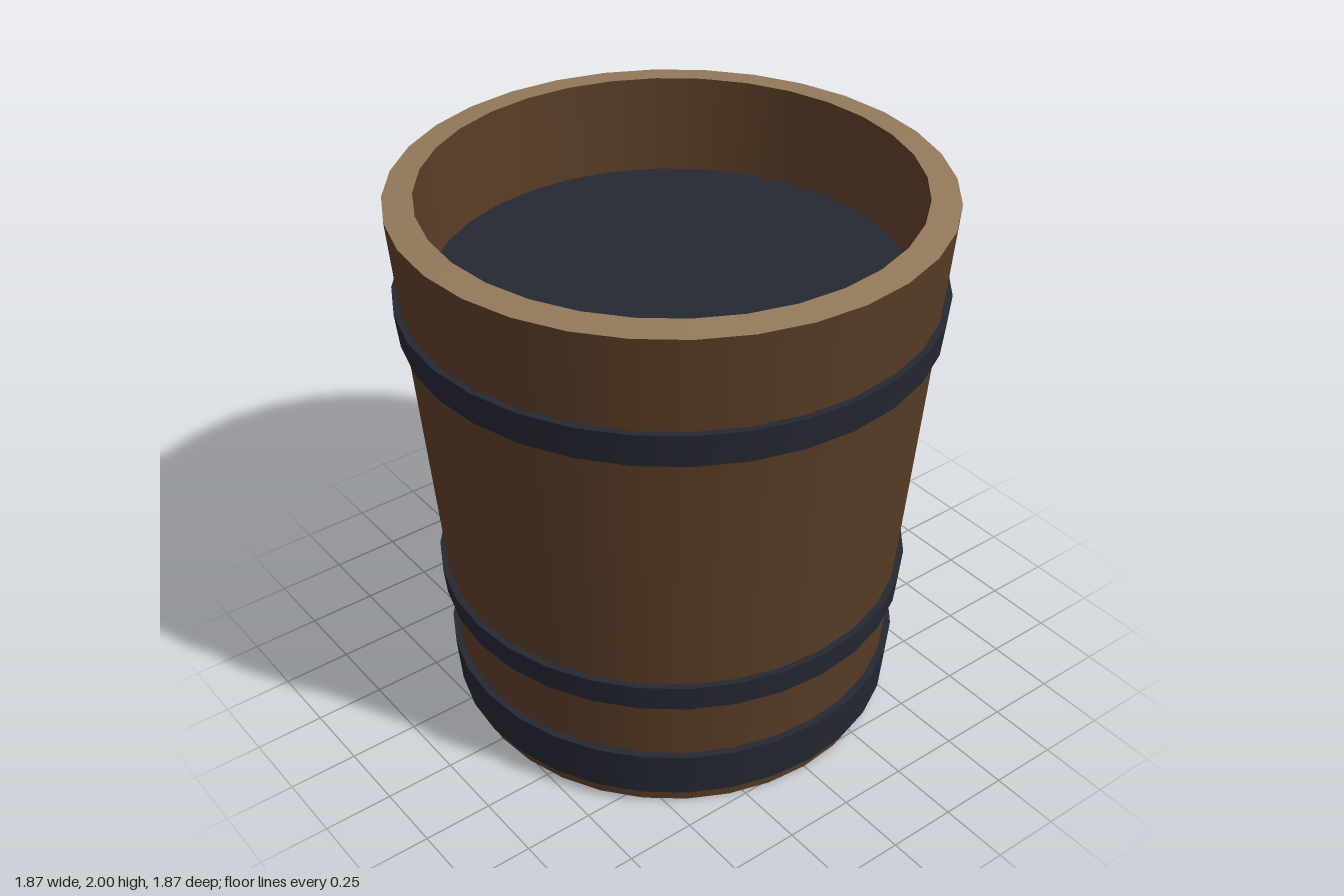
import * as THREE from 'three';

const SIDES = 32;

function material(name, color) {
  const m = new THREE.MeshStandardMaterial({ color });
  m.name = name;
  return m;
}

// Sweeps [radius, height] pairs around y; each segment keeps a hard edge to the next.
function turned(name, profile, mat) {
  const group = new THREE.Group();
  group.name = name;
  for (let i = 0; i < profile.length - 1; i++) {
    const points = [profile[i], profile[i + 1]].map(([r, y]) => new THREE.Vector2(r, y));
    const mesh = new THREE.Mesh(new THREE.LatheGeometry(points, SIDES), mat);
    mesh.name = name + 'Face' + (i + 1);
    group.add(mesh);
  }
  return group;
}

export function createModel() {
  const wood = material('dark wood', 0x583c26);
  const cutWood = material('light cut wood', 0x93795c);
  const iron = material('dark iron', 0x252732);

  const bucket = new THREE.Group();
  bucket.name = 'bucket';

  // Tapered outer wall with its base
  bucket.add(turned('outerWall', [[0, 0], [0.775, 0], [0.935, 1.99]], wood));
  // Pale rim, rising slightly inward
  bucket.add(turned('rim', [[0.935, 1.99], [0.835, 2]], cutWood));
  // Inside wall, running just below the filling
  bucket.add(turned('innerWall', [[0.835, 2], [0.812, 1.6]], wood));
  // Dark surface inside
  bucket.add(turned('filling', [[0.84, 1.65], [0, 1.65]], iron));

  // Hoops: bottom height, bottom radius, top height, top radius
  const hoops = [
    ['lowerHoop', 0.06, 0.805, 0.24, 0.82],
    ['middleHoop', 0.48, 0.835, 0.58, 0.845],
    ['upperHoop', 1.535, 0.918, 1.655, 0.931],
  ];
  for (const [name, y0, r0, y1, r1] of hoops) {
    bucket.add(turned(name, [[r0 - 0.05, y0], [r0, y0], [r1, y1], [r1 - 0.05, y1]], iron));
  }
  return bucket;
}
